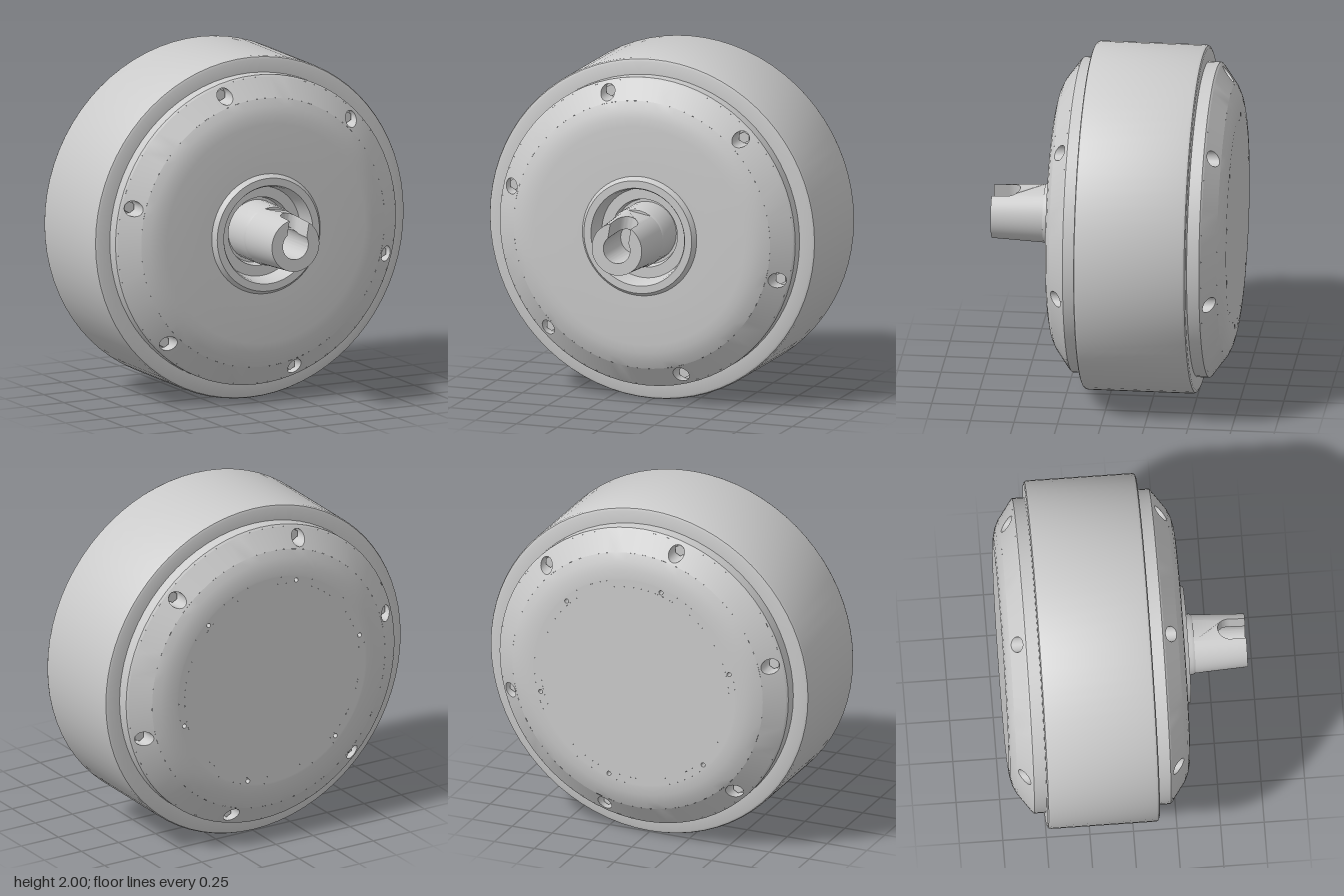
import * as THREE from 'three';
import { mergeGeometries, toCreasedNormals } from 'three/addons/utils/BufferGeometryUtils.js';

const MID_Z = -0.1875; // plane about which the two covers mirror
const STEP = Math.PI / 3;
const material = new THREE.MeshStandardMaterial({ color: 0xcccccc });

function mesh(name, geometry, crease = 0.5) {
  const m = new THREE.Mesh(toCreasedNormals(geometry, crease), material);
  m.name = name;
  return m;
}

// Surface turned about the z axis from [radius, z] points; angles measured from +x
function turned(points, start = 0, length = Math.PI * 2, segments = 72) {
  const pts = points.map(([r, z]) => new THREE.Vector2(r, z));
  return new THREE.LatheGeometry(pts, segments, start + Math.PI / 2, length).rotateX(Math.PI / 2);
}

// Small sector of a conical band with a blind round hole sunk along z
function holeCell([r1, z1], [r0, z0], angle, holeRadius, floorZ) {
  const N = 24, rc = (r0 + r1) / 2, half = (r1 - r0) / 2;
  const pos = [], index = [];
  for (let j = 0; j <= 5; j++) {
    for (let i = 0; i <= N; i++) {
      const t = (i / N) * Math.PI * 2, c = Math.cos(t), s = Math.sin(t);
      const edge = half / Math.max(Math.abs(c), Math.abs(s));
      const d = j === 5 ? 0 : THREE.MathUtils.lerp(edge, holeRadius, Math.min(j / 3, 1));
      const r = rc + d * s, a = angle - (d * c) / rc;
      const z = j > 3 ? floorZ : z0 + ((z1 - z0) * (r - r0)) / (r1 - r0);
      pos.push(r * Math.cos(a), r * Math.sin(a), z);
      if (i < N && j < 5) {
        const p = j * (N + 1) + i, q = p + N + 1;
        index.push(p, p + 1, q, p + 1, q + 1, q);
      }
    }
  }
  const g = new THREE.BufferGeometry();
  g.setAttribute('position', new THREE.Float32BufferAttribute(pos, 3));
  g.setIndex(index);
  return g;
}

// Cover turned from a profile; profile segments listed in holes get six blind holes
function coverGeometry(profile, phase, holes) {
  const parts = [];
  for (let k = 0; k < profile.length - 1; k++) {
    const a = profile[k], b = profile[k + 1], hole = holes[k];
    if (!hole) {
      parts.push(turned([a, b]));
      continue;
    }
    const w = (a[0] - b[0]) / (a[0] + b[0]);
    for (let n = 0; n < 6; n++) {
      const angle = phase + n * STEP;
      parts.push(turned([a, b], angle + w, STEP - 2 * w, 12));
      parts.push(holeCell(a, b, angle, hole.radius, hole.floor));
    }
  }
  return mergeGeometries(parts.map((g) => {
    const flat = g.toNonIndexed();
    flat.deleteAttribute('uv');
    flat.deleteAttribute('normal');
    return flat;
  }));
}

function cover(name, inner, phase, holes) {
  const group = new THREE.Group();
  group.name = name;
  const outer = [
    [0.905, 0.12], [0.905, 0.205], [0.895, 0.215], [0.785, 0.295],
    [0.74, 0.316], [0.69, 0.328], [0.64, 0.333],
  ];
  const allHoles = { 2: { radius: 0.045, floor: 0.16 }, ...holes };
  group.add(mesh(name + 'Shell', coverGeometry([...outer, ...inner], phase, allHoles)));
  // hexagonal bolt heads at the bottom of the holes
  for (let n = 0; n < 6; n++) {
    const a = phase + n * STEP;
    const bolt = mesh(name + 'Bolt', new THREE.CylinderGeometry(0.034, 0.034, 0.04, 6).rotateX(Math.PI / 2));
    bolt.position.set(0.84 * Math.cos(a), 0.84 * Math.sin(a), 0.18);
    group.add(bolt);
  }
  return group;
}

// Tapered hollow axle with a round-ended cable slot in its upper side
function axle() {
  const group = new THREE.Group();
  group.name = 'axle';
  const R = 0.168, bore = 0.09, half = 0.07, base = 0.4, tip = 0.7, up = Math.PI / 2;
  const a = Math.asin(half / R), b = Math.asin(half / bore);
  const taper = (g) => {
    const p = g.attributes.position;
    for (let i = 0; i < p.count; i++) {
      const s = 1 - (0.09 * (p.getZ(i) - base)) / (tip - base);
      p.setXY(i, p.getX(i) * s, p.getY(i) * s);
    }
    return g;
  };

  const section = new THREE.Shape();
  section.absarc(0, 0, R, up + a, up - a + Math.PI * 2, false);
  section.absarc(0, 0, bore, up - b, up + b, true);
  section.closePath();
  const tube = new THREE.ExtrudeGeometry(section, { depth: tip - base, bevelEnabled: false, curveSegments: 28 });
  group.add(mesh('axleTube', taper(tube.translate(0, 0, base))));

  // closed part of the slot, ending in an arch
  const arch = new THREE.Shape();
  arch.moveTo(-half, base);
  arch.lineTo(half, base);
  arch.absarc(0, 0.61, half, 0, Math.PI, true);
  arch.closePath();
  const web = new THREE.ExtrudeGeometry(arch, { depth: 0.1, bevelEnabled: false, curveSegments: 14 });
  web.rotateX(Math.PI / 2).translate(0, 0.16, 0);
  const p = web.attributes.position;
  for (let i = 0; i < p.count; i++) {
    const r = p.getY(i) > 0.1 ? R : bore;
    p.setY(i, Math.sqrt(r * r - p.getX(i) ** 2));
  }
  group.add(mesh('axleSlotEnd', taper(web)));

  // collar the axle rises from
  group.add(mesh('axleCollar', turned([[0.175, 0.19], [0.175, 0.385], [0.168, 0.4], [0, 0.4]], 0, Math.PI * 2, 32)));
  group.rotation.z = -0.17;
  return group;
}

export function createModel() {
  const model = new THREE.Group();
  model.name = 'hubMotor';
  const body = new THREE.Group();
  body.name = 'body';
  body.position.y = 1;
  model.add(body);

  // outer drum with rounded edges
  body.add(mesh('drum', turned([
    [0.89, -0.51], [0.98, -0.51], [0.994, -0.504], [1, -0.49],
    [1, 0.115], [0.994, 0.129], [0.98, 0.135], [0.89, 0.135],
  ]), 0.6));

  // front cover with raised boss and recess around the axle
  const phase = THREE.MathUtils.degToRad(14.5);
  body.add(cover('frontCover', [
    [0.35, 0.333], [0.33, 0.362], [0.287, 0.362], [0.278, 0.345],
    [0.262, 0.25], [0.2, 0.25], [0.19, 0.2], [0, 0.2],
  ], -phase, {}));

  // plain back cover with six small screw holes
  const back = cover('backCover', [[0.63, 0.333], [0.59, 0.333], [0, 0.333]], phase,
    { 7: { radius: 0.013, floor: 0.29 } });
  back.rotation.y = Math.PI;
  back.position.z = 2 * MID_Z;
  body.add(back);

  body.add(axle());
  return model;
}
